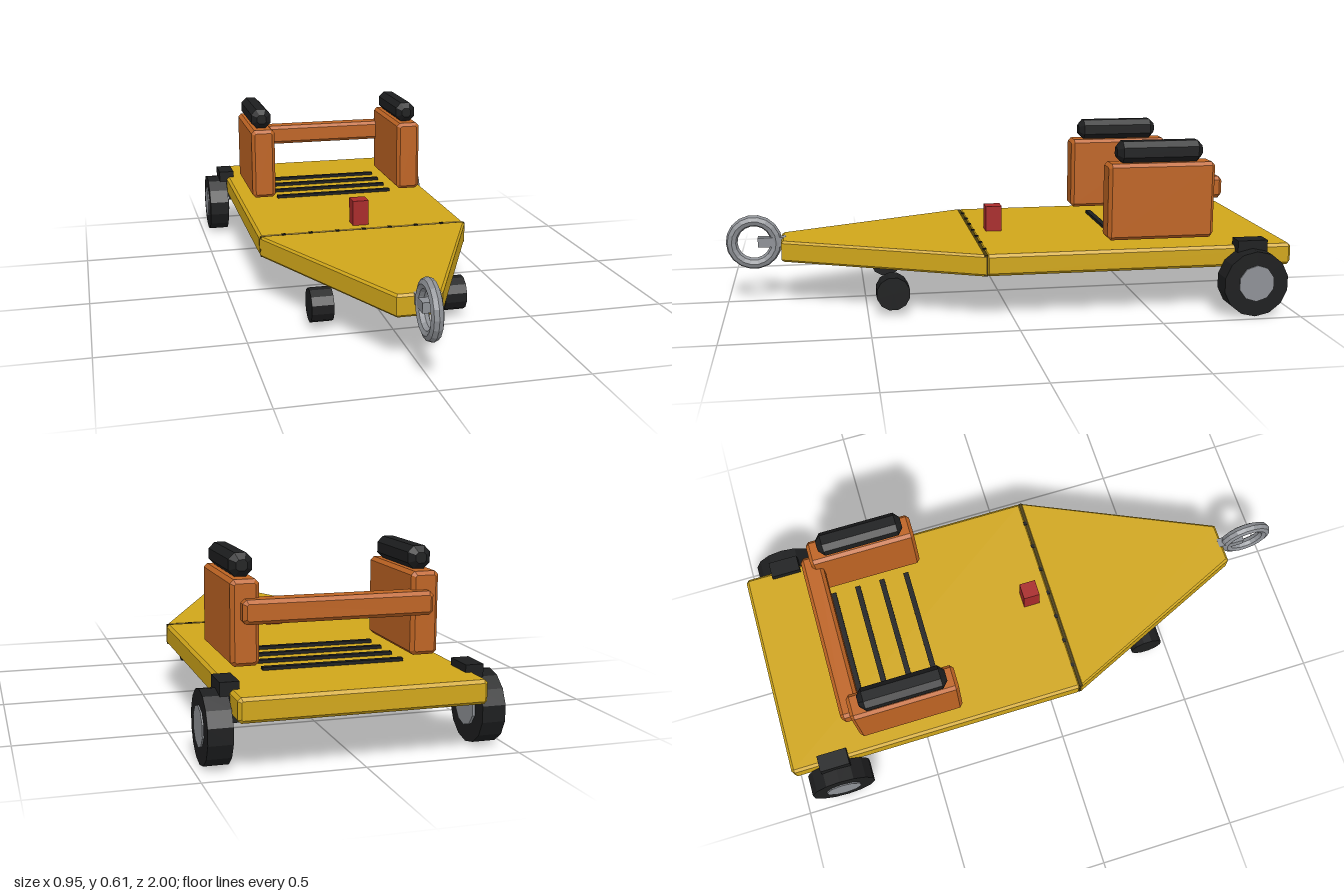
import * as THREE from 'three';

const mat = (color) => new THREE.MeshStandardMaterial({ color, flatShading: true });

export function createModel() {
  const root = new THREE.Group();
  const yellow = mat(0xd0a61a), orange = mat(0xbe6423), black = mat(0x1d1e1f);
  const grey = mat(0x8e9196), red = mat(0xa82a2a), seamDark = mat(0x4a3c0c);

  const add = (name, geometry, material, x = 0, y = 0, z = 0) => {
    const mesh = new THREE.Mesh(geometry, material);
    mesh.name = name;
    mesh.position.set(x, y, z);
    root.add(mesh);
    return mesh;
  };
  const box = (w, h, d) => new THREE.BoxGeometry(w, h, d);
  const wheel = (r, width, sides) =>
    new THREE.CylinderGeometry(r, r, width, sides).rotateZ(Math.PI / 2).rotateX(Math.PI / sides);

  // Outline extruded along z, with a single chamfer kept inside the outline
  const chamferExtrude = (points, depth, c) =>
    new THREE.ExtrudeGeometry(new THREE.Shape(points.map(([x, y]) => new THREE.Vector2(x, y))), {
      depth: depth - 2 * c, bevelEnabled: true, bevelThickness: c, bevelSize: c, bevelOffset: -c, bevelSegments: 1,
    }).translate(0, 0, c - depth / 2);

  // Box with all edges chamfered
  const chamferBox = (w, h, d, c) => {
    const a = w / 2, b = h / 2;
    return chamferExtrude([
      [a, c - b], [a, b - c], [a - c, b], [c - a, b],
      [-a, b - c], [-a, c - b], [c - a, -b], [a - c, -b],
    ], d, c);
  };

  // Flat deck and tapering tongue
  add('deck', chamferBox(0.78, 0.077, 1.1, 0.01), yellow, 0, 0.198, -0.45);
  const tongue = chamferExtrude([[-0.39, -0.1], [-0.075, -0.8], [0.075, -0.8], [0.39, -0.1]], 0.077, 0.008);
  add('tongue', tongue.rotateX(-Math.PI / 2), yellow, 0, 0.198, 0);
  add('hingeSeam', box(0.775, 0.074, 0.012), seamDark, 0, 0.198, 0.1);
  for (let i = -3; i <= 3; i++) {
    add('seamBolt', box(0.014, 0.082, 0.012), black, i * 0.1, 0.198, 0.094);
  }

  // Towing eye with its short shank
  add('towRing', new THREE.TorusGeometry(0.08, 0.021, 8, 18).rotateY(Math.PI / 2), grey, 0, 0.22, 0.899);
  add('towShank', box(0.035, 0.035, 0.1), grey, 0, 0.22, 0.835);

  // Control block and deck grip strips
  add('controlBlock', box(0.06, 0.1, 0.06), red, 0, 0.28, 0.019);
  for (let i = 0; i < 4; i++) {
    add('gripStrip', box(0.47, 0.016, 0.02), black, 0, 0.239, -0.405 - i * 0.095);
  }

  // Back bar joining the two side panels
  add('backBar', chamferBox(0.624, 0.077, 0.075, 0.012), orange, 0, 0.433, -0.724);

  for (const s of [-1, 1]) {
    const side = s > 0 ? 'left' : 'right';
    // Side panels with padded armrests
    add(side + 'SidePanel', chamferBox(0.092, 0.272, 0.385, 0.012), orange, s * 0.297, 0.394, -0.532);
    add(side + 'ArmPad', chamferBox(0.076, 0.075, 0.31, 0.02), black, s * 0.297, 0.568, -0.528);
    // Rear wheels, hubs and mounting blocks
    add(side + 'RearTyre', wheel(0.117, 0.077, 14), black, s * 0.432, 0.115, -0.843);
    add(side + 'RearHub', wheel(0.065, 0.09, 10), grey, s * 0.43, 0.118, -0.843);
    add(side + 'RearMount', box(0.06, 0.125, 0.108), black, s * 0.391, 0.198, -0.843);
    // Small front rollers
    add(side + 'FrontRoller', wheel(0.06, 0.077, 12), black, s * 0.236, 0.079, 0.412);
  }
  return root;
}
